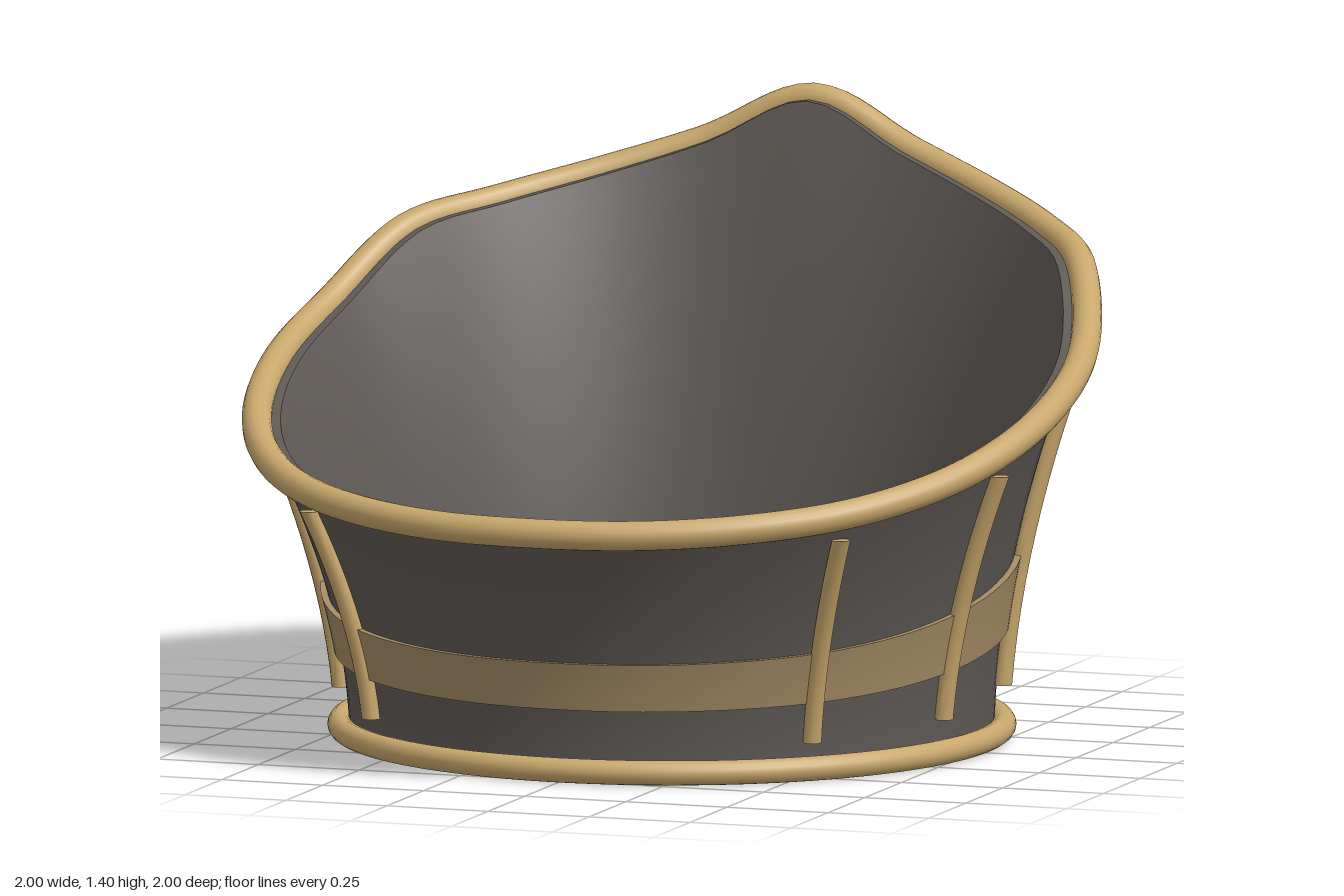
import * as THREE from 'three';
import { toCreasedNormals } from 'three/addons/utils/BufferGeometryUtils.js';

// Rim height every 15 degrees, from the back peak round to the front
const HEIGHTS = [1.365, 1.26, 1.185, 1.13, 1.083, 0.945, 0.853, 0.77, 0.702, 0.655, 0.63, 0.617, 0.615];

function rimHeight(x, z) {
  const s = Math.abs(Math.atan2(x, -z)) / (Math.PI / 12);
  const i = Math.min(Math.floor(s), 11), f = s - i;
  const at = (k) => HEIGHTS[k < 0 ? -k : k > 12 ? 24 - k : k];
  const [a, b, c, d] = [at(i - 1), at(i), at(i + 1), at(i + 2)];
  return b + 0.5 * f * (c - a + f * (2 * a - 5 * b + 4 * c - d + f * (3 * (b - c) + d - a)));
}

// Outer wall radius at a fraction t of the local height
const wallRadius = (t) => 0.75 + 0.2 * Math.pow(t, 1.8);

// Closed ring: a profile from t0 to t1 between two offsets, stretched to the rim height
function flaredRing(t0, t1, inner, outer, steps) {
  const points = [];
  const side = (offset, from, to) => {
    for (let i = 0; i <= steps; i++) {
      const t = from + (to - from) * i / steps;
      points.push(new THREE.Vector2(wallRadius(t) + offset, t));
    }
  };
  side(outer, t0, t1);
  side(inner, t1, t0);
  points.push(points[0].clone());
  const geo = new THREE.LatheGeometry(points, 120);
  const p = geo.attributes.position;
  for (let i = 0; i < p.count; i++) p.setY(i, p.getY(i) * rimHeight(p.getX(i), p.getZ(i)));
  return toCreasedNormals(geo, 0.7);
}

// Rod that follows the flare of the wall at one angle
function rodGeometry(angle) {
  const h = rimHeight(Math.sin(angle), Math.cos(angle));
  const t0 = 0.14, t1 = 0.9;
  const geo = new THREE.CylinderGeometry(0.022, 0.022, 1, 14, 12);
  const p = geo.attributes.position;
  for (let i = 0; i < p.count; i++) {
    const t = t0 + (t1 - t0) * (p.getY(i) + 0.5);
    p.setY(i, t * h);
    p.setZ(i, p.getZ(i) + wallRadius(t) + 0.016);
  }
  geo.rotateY(angle);
  return toCreasedNormals(geo, 0.7);
}

export function createModel() {
  const model = new THREE.Group();
  const material = (name, color) => {
    const m = new THREE.MeshStandardMaterial({ color });
    m.name = name;
    return m;
  };
  const charcoal = material('charcoal', 0x5f5a56);
  const gold = material('gold', 0xc8a76c);
  const tan = material('tan', 0xa58c66);
  const add = (name, geo, mat, parent = model) => {
    const mesh = new THREE.Mesh(geo, mat);
    mesh.name = name;
    parent.add(mesh);
    return mesh;
  };

  // Flared wall, open at top and bottom
  add('wall', flaredRing(0.03, 1, -0.04, 0, 20), charcoal);

  // Band round the lower wall
  add('band', flaredRing(0.285, 0.47, -0.01, 0.016, 6), tan);

  // Rounded rim along the top edge
  const rimPoints = [];
  for (let i = 0; i < 96; i++) {
    const a = i / 96 * Math.PI * 2;
    const x = 0.965 * Math.sin(a), z = 0.965 * Math.cos(a);
    rimPoints.push(new THREE.Vector3(x, rimHeight(x, z), z));
  }
  const rimCurve = new THREE.CatmullRomCurve3(rimPoints, true);
  add('rim', new THREE.TubeGeometry(rimCurve, 192, 0.035, 16, true), gold);

  // Base ring
  const base = add('baseRing', new THREE.TorusGeometry(0.772, 0.029, 16, 120), gold);
  base.rotation.x = Math.PI / 2;
  base.position.y = 0.031;

  // Rods every 30 degrees, leaving the front open
  const rods = new THREE.Group();
  rods.name = 'rods';
  model.add(rods);
  for (let deg = 45; deg <= 315; deg += 30) {
    add('rod', rodGeometry(THREE.MathUtils.degToRad(deg)), gold, rods);
  }
  return model;
}
